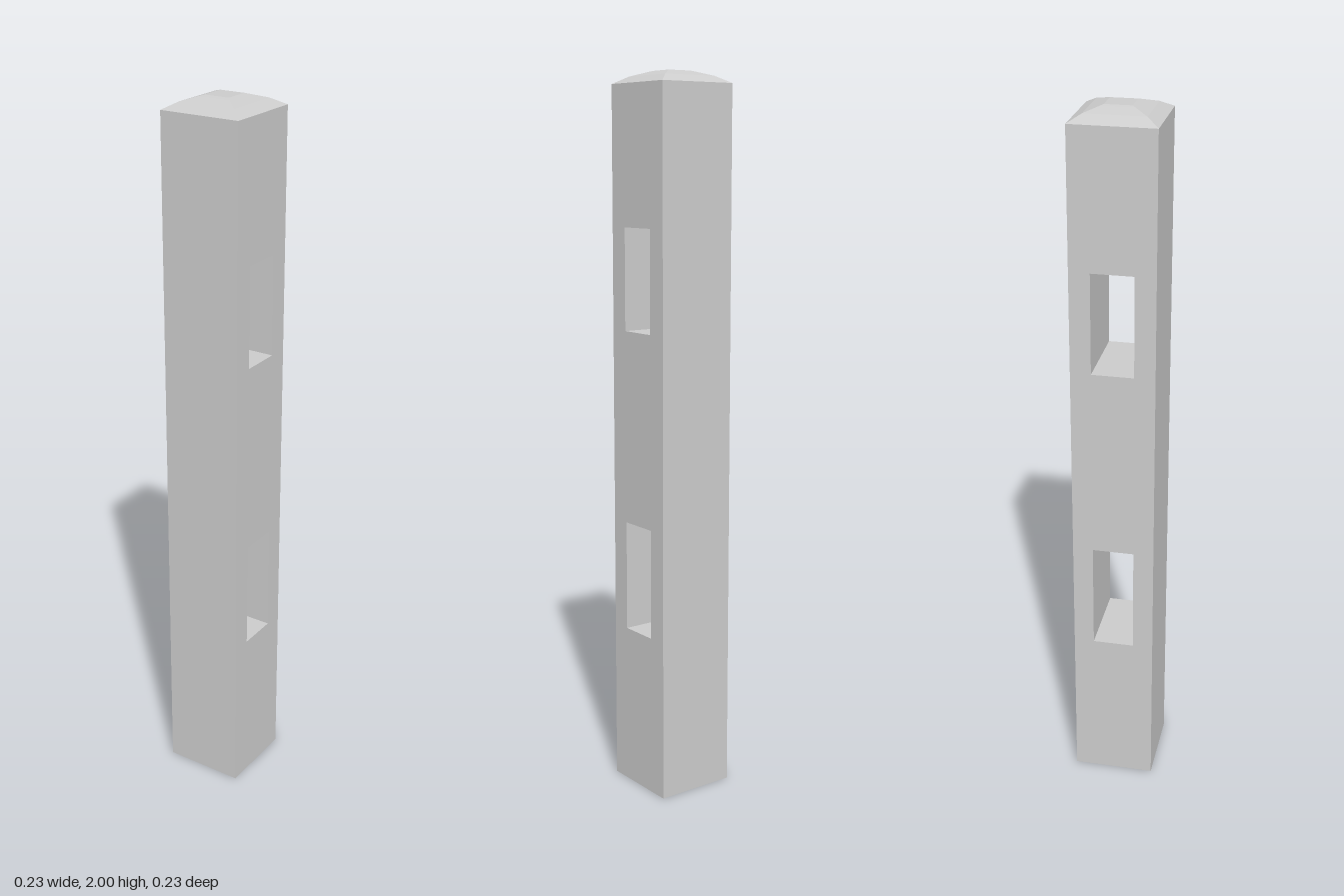
import * as THREE from 'three';

const HALF = 0.115;      // half width of the square post
const SHOULDER = 1.967;  // height where the domed cap begins

// Adds the corners of an upright rectangle to a shape or hole path
function rectangle(path, half, bottom, top) {
  path.moveTo(-half, bottom);
  path.lineTo(half, bottom);
  path.lineTo(half, top);
  path.lineTo(-half, top);
  path.closePath();
  return path;
}

export function createModel() {
  const group = new THREE.Group();
  group.name = 'fencePost';
  const material = new THREE.MeshStandardMaterial({ color: 0xcccccc, flatShading: true });

  // Square shaft with two rail slots running through it from side to side
  const profile = rectangle(new THREE.Shape(), HALF, 0, SHOULDER);
  for (const [bottom, top] of [[0.457, 0.768], [1.308, 1.589]]) {
    profile.holes.push(rectangle(new THREE.Path(), 0.058, bottom, top));
  }
  const shaftGeometry = new THREE.ExtrudeGeometry(profile, { depth: 2 * HALF, bevelEnabled: false });
  shaftGeometry.translate(0, 0, -HALF).rotateY(Math.PI / 2);
  const shaft = new THREE.Mesh(shaftGeometry, material);
  shaft.name = 'shaft';
  group.add(shaft);

  // Four-sided cap, rising in facets to a small flat top
  const capProfile = [[HALF, SHOULDER], [0.081, 1.986], [0.046, 1.997], [0.036, 2], [0, 2]]
    .map(([half, y]) => new THREE.Vector2(half * Math.SQRT2, y));
  const cap = new THREE.Mesh(new THREE.LatheGeometry(capProfile, 4, Math.PI / 4), material);
  cap.name = 'cap';
  group.add(cap);

  return group;
}
